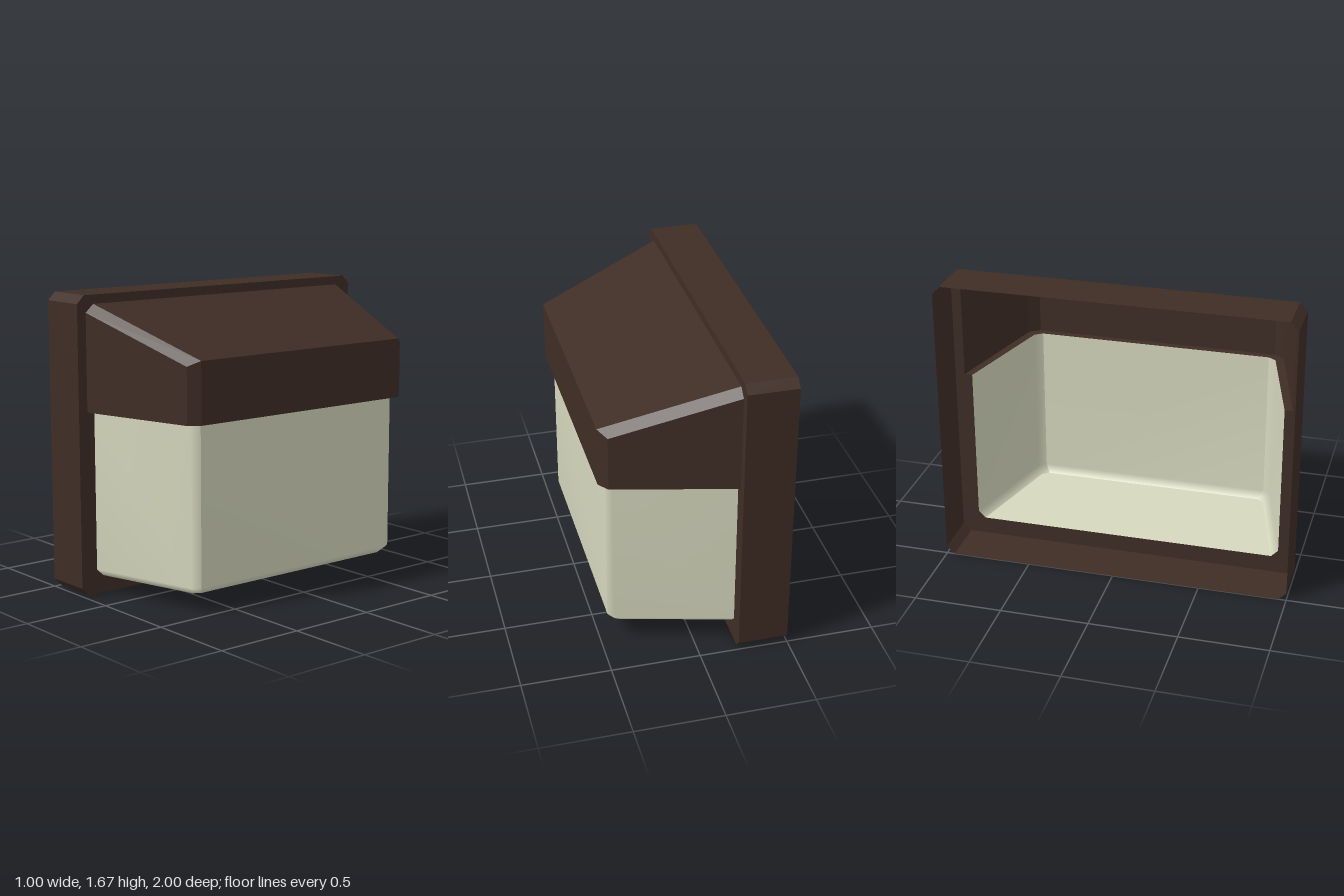
import * as THREE from 'three';

const brown = new THREE.MeshStandardMaterial({ color: 0x3f2d25, side: THREE.DoubleSide });
brown.name = 'dark bronze';
const cream = new THREE.MeshStandardMaterial({ color: 0xd6d8be, side: THREE.DoubleSide });
cream.name = 'frosted cream';

// Skin between successive rings of [x, y, z] points
function loft(rings, smooth = false) {
  const n = rings[0].length, index = [];
  for (let r = 0; r < rings.length - 1; r++) {
    for (let i = 0; i < n - 1; i++) {
      const a = r * n + i, b = a + n;
      index.push(a, b, b + 1, a, b + 1, a + 1);
    }
  }
  let geo = new THREE.BufferGeometry();
  geo.setAttribute('position', new THREE.Float32BufferAttribute(rings.flat(2), 3));
  geo.setIndex(index);
  if (!smooth) geo = geo.toNonIndexed();
  geo.computeVertexNormals();
  return geo;
}

// Half path on the +z side, continued across to the -z side
const mirror = (pts) => [...pts, ...[...pts].reverse().map(([x, y, z]) => [x, y, -z])];

export function createModel() {
  const group = new THREE.Group();
  const add = (name, geo, mat) => {
    const mesh = new THREE.Mesh(geo, mat);
    mesh.name = name;
    group.add(mesh);
  };

  const BACK = -0.5, FACE = -0.22, H = 1.67, C = 0.045, SPLIT = 1.03;

  // Frame: thin-walled surround, open at the back
  const outline = mirror([[0, 0, 1 - C], [0, C, 1], [0, H - C, 1], [0, H, 1 - C]]);
  const loop = [...outline, outline[0]];
  add('frameWalls', loft([BACK, FACE].map((x) => loop.map(([, y, z]) => [x, y, z]))), brown);

  // Frame face with an opening shaped to the lens and hood
  const toShape = (pts) => pts.map(([, y, z]) => new THREE.Vector2(-z, y));
  const face = new THREE.Shape(toShape(outline));
  face.holes.push(new THREE.Path(toShape(mirror([
    [0, 0.1, 0.86], [0, 0.14, 0.9], [0, SPLIT, 0.9],
    [0, SPLIT, 0.945], [0, 1.575, 0.945], [0, 1.62, 0.895],
  ]))));
  const faceGeo = new THREE.ShapeGeometry(face);
  faceGeo.rotateY(Math.PI / 2);
  faceGeo.translate(FACE, 0, 0);
  add('frameFace', faceGeo, brown);

  // Hood: tapering, sloped shell with chamfered corners
  const front = [[0.495, SPLIT, 0.72], [0.495, 1.37, 0.72], [0.495, 1.37, 0.72]];
  add('hood', loft([
    mirror([[FACE, SPLIT, 0.945], [FACE, 1.575, 0.945], [FACE, 1.62, 0.895]]),
    mirror([[0.45, SPLIT, 0.78], [0.45, 1.34, 0.78], [0.495, 1.37, 0.72]]),
    mirror(front),
    mirror(front.map(([x, y]) => [x, y, 0])),
  ]), brown);

  // Underside rim between hood and lens
  const lensTop = [[FACE, SPLIT, 0.9], [0.42, SPLIT, 0.735], [0.45, SPLIT, 0.69]];
  add('hoodRim', loft([
    mirror([[FACE, SPLIT, 0.945], [0.45, SPLIT, 0.78], [0.495, SPLIT, 0.72]]),
    mirror(lensTop),
  ]), brown);

  // Lens: open-topped tray with softly bevelled lower edges
  const base = [[FACE, 0.1, 0.86], [0.385, 0.1, 0.70], [0.41, 0.1, 0.66]];
  const rings = [lensTop, lensTop.map(([x, , z]) => [x, 0.14, z]), base].map(mirror);
  add('lensLeftSide', loft(rings.map((r) => r.slice(0, 3)), true), cream);
  add('lensFront', loft(rings.map((r) => r.slice(2, 4)), true), cream);
  add('lensRightSide', loft(rings.map((r) => r.slice(3)), true), cream);
  add('lensBottom', loft([mirror(base), mirror(base.map(([x, y]) => [x, y, 0]))]), cream);

  return group;
}
